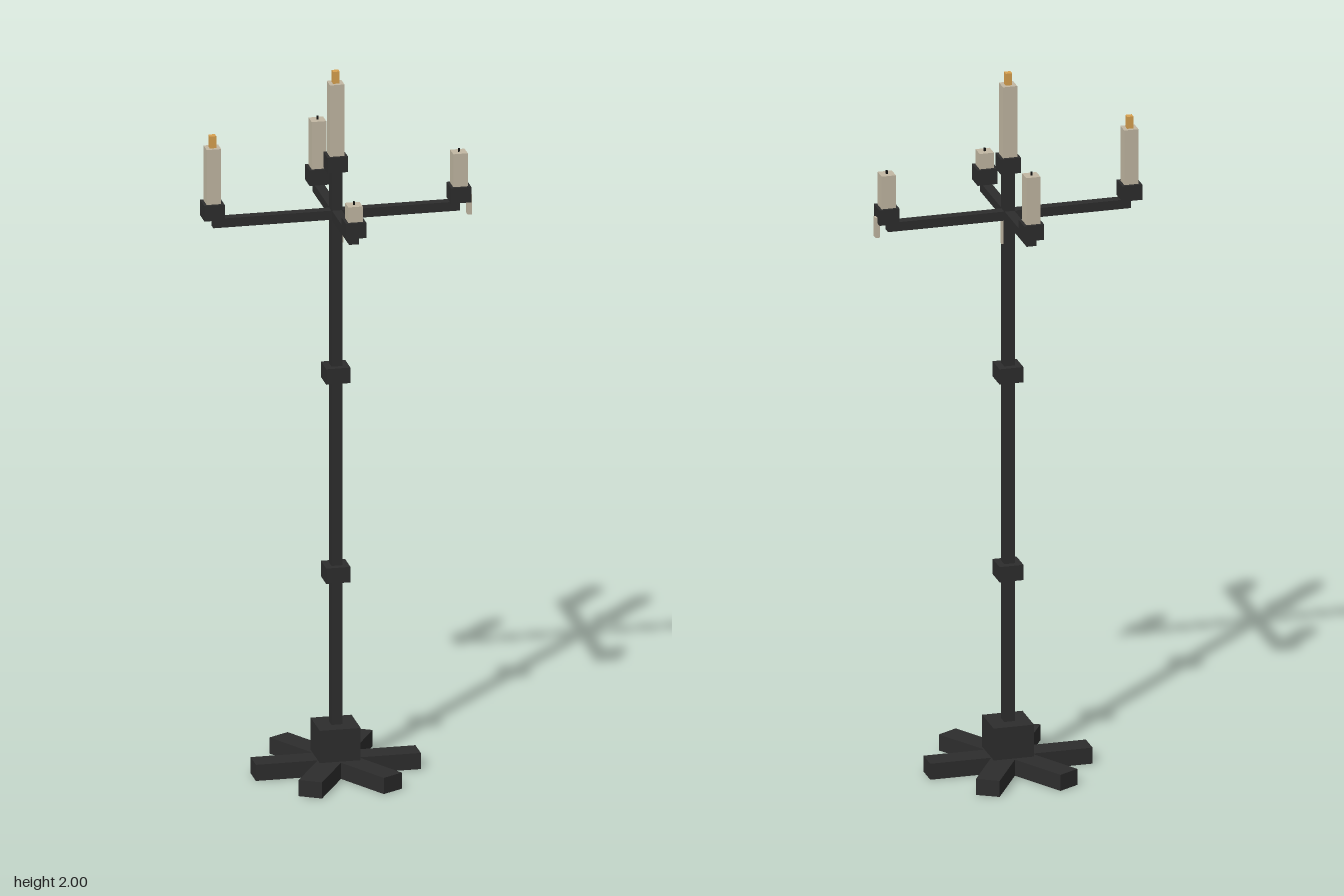
import * as THREE from 'three';

const iron = new THREE.MeshStandardMaterial({ color: 0x2d2d2d });
const wax = new THREE.MeshStandardMaterial({ color: 0xc2b8a3 });
const flameMat = new THREE.MeshStandardMaterial({ color: 0xd9a250 });
const wickMat = new THREE.MeshStandardMaterial({ color: 0x111111 });

export function createModel() {
  const model = new THREE.Group();
  model.name = 'candelabra';
  const CX = -0.004, CZ = -0.001; // axis of the pole

  // Box given by its centre in plan, its bottom and top, and its plan size
  const block = (name, mat, x, z, y0, y1, w, d = w, parent = model) => {
    const mesh = new THREE.Mesh(new THREE.BoxGeometry(w, y1 - y0, d), mat);
    mesh.position.set(x, (y0 + y1) / 2, z);
    mesh.name = name;
    parent.add(mesh);
    return mesh;
  };

  // Base: three crossed bars and a central block
  for (let i = 0; i < 3; i++) {
    block('footBar', iron, CX, CZ, 0, 0.046, 0.456, 0.066).rotation.y = (i * Math.PI) / 3;
  }
  block('baseBlock', iron, CX, CZ, 0.046, 0.138, 0.113);

  // Pole with two collars
  block('pole', iron, CX, CZ, 0.138, 1.72, 0.03);
  for (const y of [0.57, 1.139]) block('collar', iron, CX, CZ, y - 0.022, y + 0.022, 0.067);

  // Crossed arms
  block('sideArm', iron, CX, CZ, 1.58, 1.606, 0.682, 0.027);
  block('crossArm', iron, CX, CZ, 1.58, 1.606, 0.027, 0.455);

  // Candle holders: cup, candle, and a flame or a bare wick
  const holders = [
    { x: CX, z: CZ, y: 1.718, top: 1.966, tip: 2.0, lit: true },
    { x: -0.345, z: CZ, y: 1.606, top: 1.807, tip: 1.841, lit: true },
    { x: 0.337, z: CZ, y: 1.606, top: 1.744, tip: 1.753 },
    { x: CX, z: -0.228, y: 1.606, top: 1.785, tip: 1.795 },
    { x: CX, z: 0.226, y: 1.606, top: 1.694, tip: 1.703 },
  ];
  for (const h of holders) {
    const group = new THREE.Group();
    group.name = 'candleHolder';
    block('cup', iron, h.x, h.z, h.y, h.y + 0.044, 0.056, 0.056, group);
    block('candle', wax, h.x, h.z, h.y + 0.02, h.top, 0.04, 0.04, group);
    if (h.lit) block('flame', flameMat, h.x, h.z, h.top, h.tip, 0.018, 0.018, group);
    else block('wick', wickMat, h.x, h.z, h.top, h.tip, 0.005, 0.005, group);
    model.add(group);
  }

  // Wax drips on the right-hand cup and on the pole
  block('cupDrip', wax, 0.365, CZ, 1.565, 1.622, 0.012, 0.018);
  block('poleDrip', wax, 0.012, CZ, 1.51, 1.6, 0.008, 0.011);

  return model;
}
